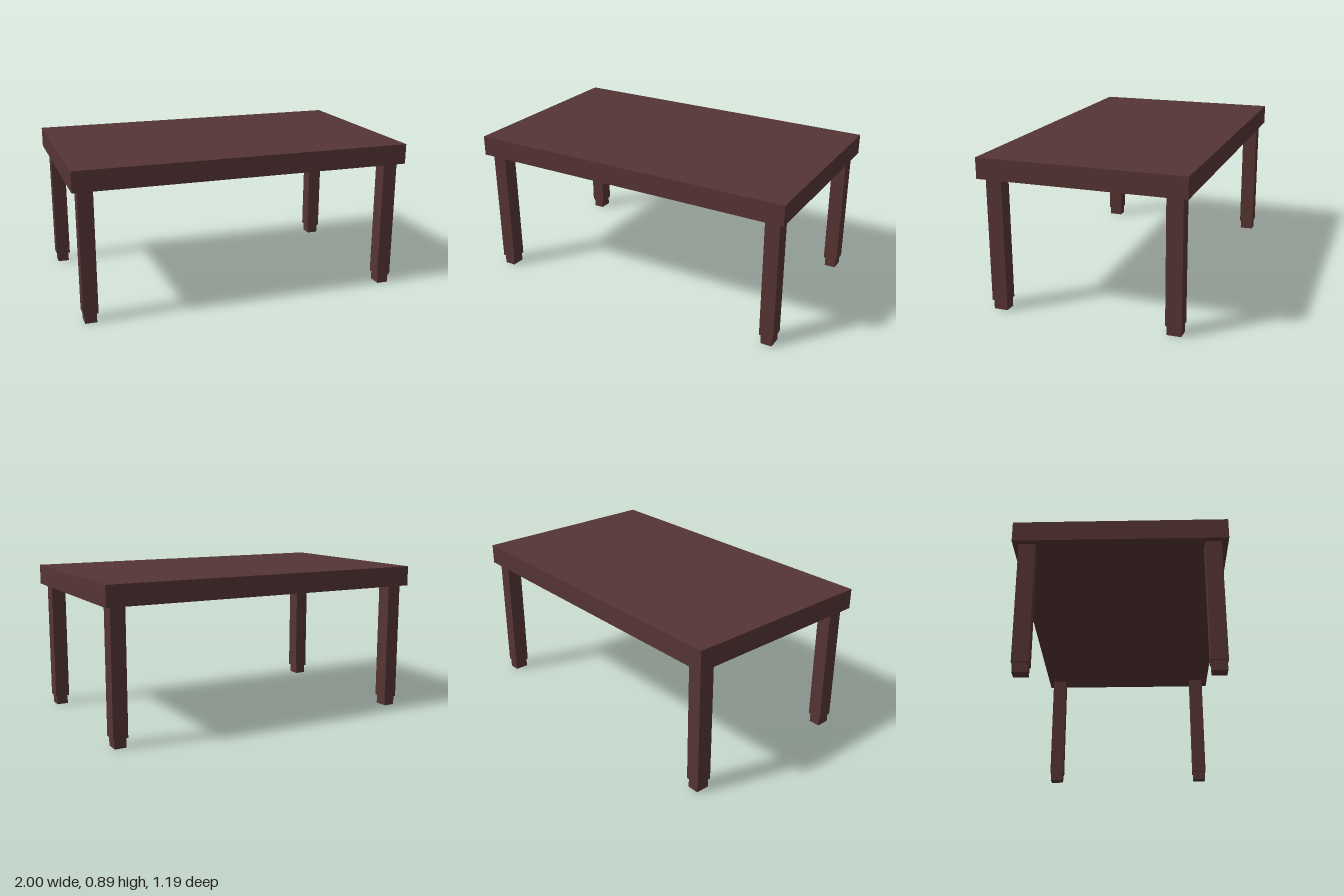
import * as THREE from 'three';

export function createModel() {
  const model = new THREE.Group();
  model.name = 'table';

  const darkWood = new THREE.MeshStandardMaterial({ color: 0x563434 });
  darkWood.name = 'darkWood';

  // Box with its base at height y
  function box(name, w, h, d, x, y, z) {
    const mesh = new THREE.Mesh(new THREE.BoxGeometry(w, h, d), darkWood);
    mesh.name = name;
    mesh.position.set(x, y + h / 2, z);
    return mesh;
  }

  // Thick slab top
  model.add(box('tableTop', 2, 0.12, 1.19, 0, 0.775, 0));

  // Four square legs, each on a narrower foot
  for (const [side, x] of [['Right', -0.923], ['Left', 0.923]]) {
    for (const [end, z] of [['front', 0.511], ['back', -0.516]]) {
      const leg = new THREE.Group();
      leg.name = `${end}${side}Leg`;
      leg.position.set(x, 0, z);
      leg.add(box('post', 0.086, 0.72, 0.092, 0, 0.055, 0));
      leg.add(box('foot', 0.068, 0.055, 0.082, 0, 0, 0));
      model.add(leg);
    }
  }

  return model;
}
